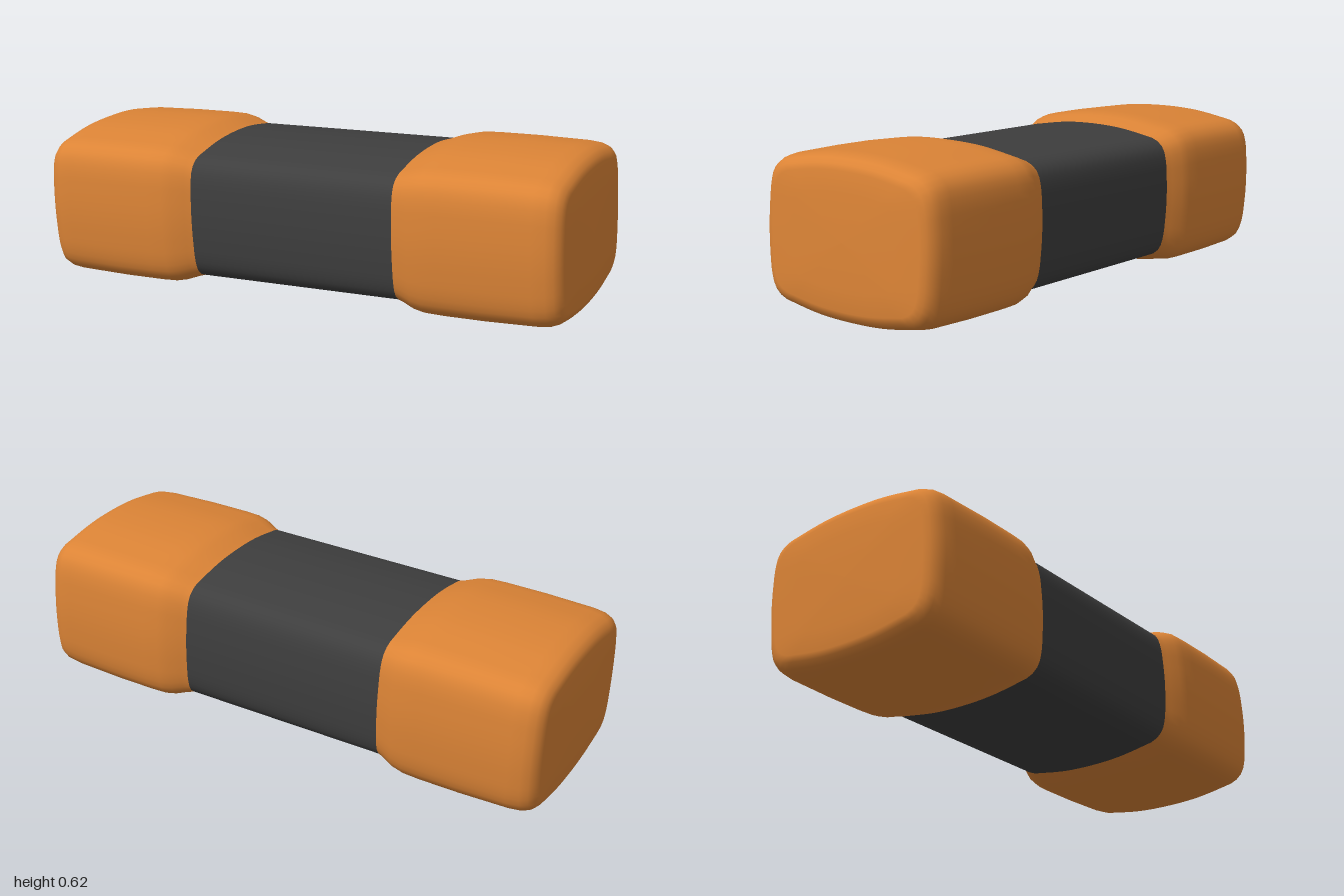
import * as THREE from 'three';

const SIDES = 80;

// Rounded, slightly bulging rectangular section (z, y), scaled to unit half-sizes
function makeSection() {
  const quarter = [[1, 0], [0.992, 0.3], [0.968, 0.6], [0.92, 0.77], [0.82, 0.872], [0.67, 0.915], [0.35, 0.98]];
  const pts = [];
  const add = (z, y) => pts.push(new THREE.Vector3(0, y, z));
  quarter.forEach(([z, y]) => add(z, y));
  add(0, 1);
  quarter.slice().reverse().forEach(([z, y]) => add(-z, y));
  quarter.slice(1).forEach(([z, y]) => add(-z, -y));
  add(0, -1);
  quarter.slice(1).reverse().forEach(([z, y]) => add(z, -y));
  return new THREE.CatmullRomCurve3(pts, true).getSpacedPoints(SIDES).slice(0, SIDES);
}

// Lofts the section along x through stations of [x, half depth, half height]
function loft(section, stations) {
  const pos = [], index = [];
  stations.forEach(([x, hz, hy]) => section.forEach(p => pos.push(x, p.y * hy, p.z * hz)));
  for (let i = 0; i < stations.length - 1; i++) {
    for (let j = 0; j < SIDES; j++) {
      const k = (j + 1) % SIDES;
      const a = i * SIDES + j, b = a + SIDES, c = i * SIDES + k, d = c + SIDES;
      index.push(a, b, c, b, d, c);
    }
  }
  const geo = new THREE.BufferGeometry();
  geo.setAttribute('position', new THREE.Float32BufferAttribute(pos, 3));
  geo.setIndex(index);
  geo.computeVertexNormals();
  return geo;
}

export function createModel() {
  const copper = new THREE.MeshStandardMaterial({ color: 0xdc8436 });
  copper.name = 'copper orange';
  const charcoal = new THREE.MeshStandardMaterial({ color: 0x3e3e3e });
  charcoal.name = 'charcoal';

  const section = makeSection();
  const model = new THREE.Group();
  model.name = 'chipComponent';

  // Dark middle body
  const body = new THREE.Mesh(loft(section, [
    [-0.385, 0.338, 0.25], [0, 0.338, 0.25], [0.385, 0.338, 0.25],
  ]), charcoal);
  body.name = 'body';
  model.add(body);

  // Swollen end caps, the second turned half round
  const capGeo = loft(section, [
    [0.385, 0.338, 0.25], [0.41, 0.347, 0.257], [0.45, 0.364, 0.271], [0.49, 0.371, 0.279],
    [0.55, 0.373, 0.281], [0.7, 0.373, 0.281], [0.88, 0.369, 0.277], [0.925, 0.364, 0.272],
    [0.952, 0.354, 0.262], [0.969, 0.337, 0.246], [0.977, 0.315, 0.226],
    [0.981, 0.22, 0.157], [0.983, 0.1, 0.07], [0.984, 0, 0],
  ]);
  ['leftCap', 'rightCap'].forEach((name, i) => {
    const cap = new THREE.Mesh(capGeo, copper);
    cap.name = name;
    cap.rotation.y = i * Math.PI;
    model.add(cap);
  });

  // The whole piece sits a little askew
  model.rotation.set(0, -0.036, 0.037);
  model.position.y = 0.307;
  const root = new THREE.Group();
  root.name = 'model';
  root.add(model);
  return root;
}
